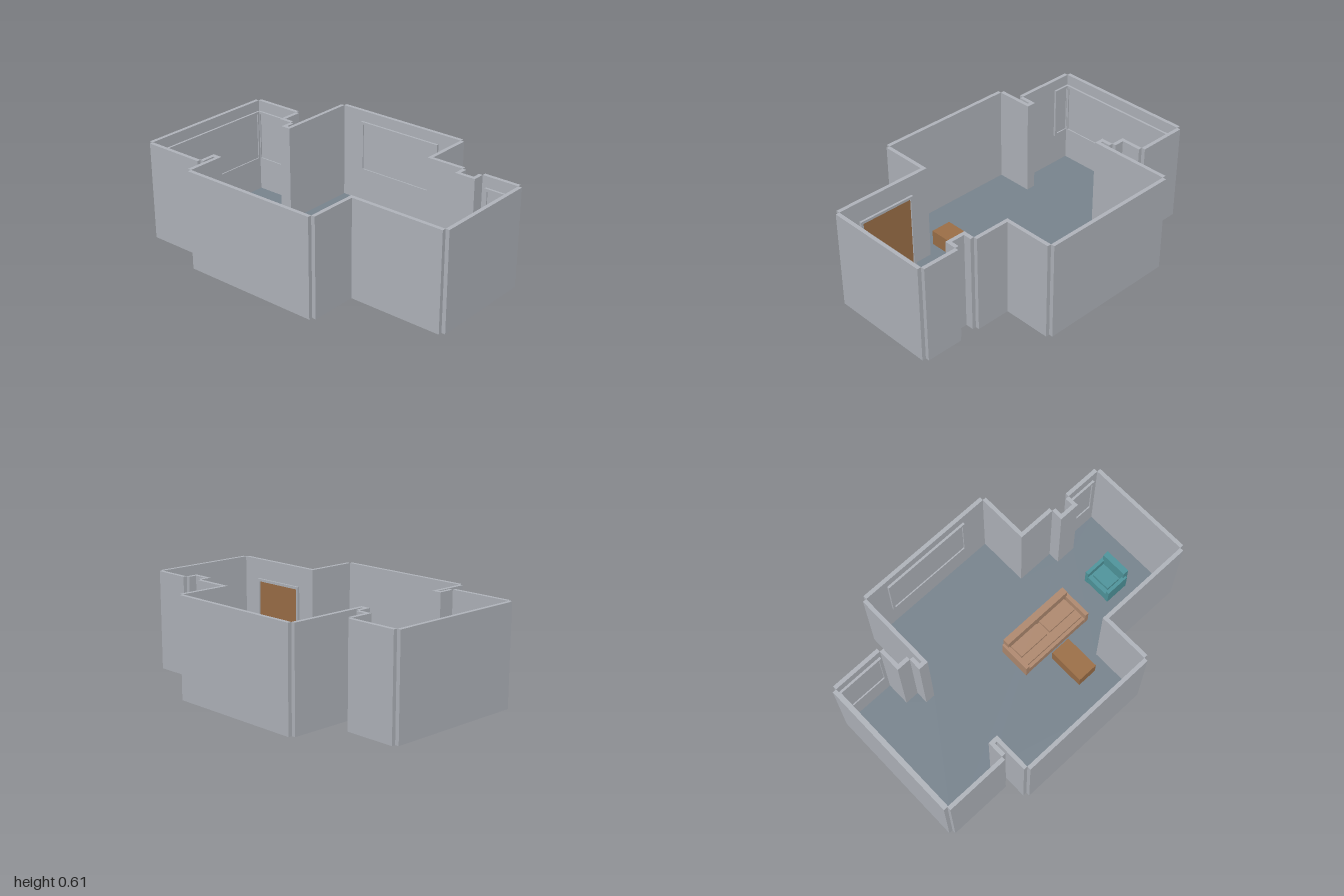
import * as THREE from 'three';

const mat = (name, color) => {
  const m = new THREE.MeshStandardMaterial({ color });
  m.name = name;
  return m;
};

export function createModel() {
  const root = new THREE.Group();
  root.name = 'apartment';
  const wallMat = mat('wall grey', 0xb0b4bb);
  const floorMat = mat('floor slate', 0x78848e);
  const woodMat = mat('wood brown', 0x9c6f47);
  const sofaMat = mat('sofa tan', 0xb08a70);
  const chairMat = mat('chair teal', 0x4f959c);

  // Box given by its two extreme corners
  const box = (parent, name, m, x0, x1, y0, y1, z0, z1) => {
    const b = new THREE.Mesh(new THREE.BoxGeometry(x1 - x0, y1 - y0, z1 - z0), m);
    b.position.set((x0 + x1) / 2, (y0 + y1) / 2, (z0 + z1) / 2);
    b.name = name;
    parent.add(b);
    return b;
  };
  const group = (name) => {
    const g = new THREE.Group();
    g.name = name;
    root.add(g);
    return g;
  };

  // Inner outline of the rooms as x, z, clockwise seen from above
  const plan = [
    [-0.975, -0.372], [-0.66, -0.372], [-0.66, -0.225], [-0.573, -0.225],
    [-0.573, -0.147], [-0.511, -0.147], [-0.511, -0.655], [0.372, -0.655],
    [0.372, -0.333], [0.613, -0.333], [0.613, -0.26], [0.745, -0.26],
    [0.745, -0.335], [0.975, -0.335], [0.975, 0.327], [0.361, 0.327],
    [0.361, 0.648], [-0.521, 0.648], [-0.521, 0.413], [-0.582, 0.413],
    [-0.582, 0.517], [-0.975, 0.517],
  ];
  const H = 0.608, T = 0.024;

  // Floor slab
  const shape = new THREE.Shape(plan.map(([x, z]) => new THREE.Vector2(x, -z)));
  const floorGeo = new THREE.ExtrudeGeometry(shape, { depth: 0.004, bevelEnabled: false });
  const floor = new THREE.Mesh(floorGeo.rotateX(-Math.PI / 2), floorMat);
  floor.name = 'floor';
  root.add(floor);

  // One wall box outside every edge, leaving the outer corners open
  const walls = group('walls');
  plan.forEach(([x0, z0], i) => {
    const [x1, z1] = plan[(i + 1) % plan.length];
    const nx = Math.sign(z1 - z0) * T, nz = -Math.sign(x1 - x0) * T;
    box(walls, 'wall', wallMat,
      Math.min(x0, x1, x0 + nx), Math.max(x0, x1, x0 + nx), 0, H,
      Math.min(z0, z1, z0 + nz), Math.max(z0, z1, z0 + nz));
  });

  // Framed panel, built facing +z around its centre and then turned
  const framed = (name, m, w, y0, y1, x, z, turn, sill = true) => {
    const g = group(name);
    const f = 0.016, d = 0.014, h = y1 - y0;
    for (const s of [-1, 1]) {
      const e = s * (w - f) / 2;
      box(g, 'frameSide', wallMat, e - f / 2, e + f / 2, 0, h, 0, d);
    }
    box(g, 'frameTop', wallMat, -w / 2 + f, w / 2 - f, h - f, h, 0, d);
    if (sill) box(g, 'frameSill', wallMat, -w / 2 + f, w / 2 - f, 0, f, 0, d);
    box(g, 'panel', m, -w / 2 + f, w / 2 - f, sill ? f : 0, h - f, 0, 0.006);
    g.position.set(x, y0, z);
    g.rotation.y = turn;
  };
  const lo = 0.21, hi = 0.54;
  framed('backWindow', wallMat, 0.58, lo, hi, -0.075, -0.655, 0);
  framed('smallBackWindow', wallMat, 0.175, lo, hi, 0.858, -0.335, 0);
  framed('cornerBackWindow', wallMat, 0.3, lo, hi, -0.82, -0.372, 0);
  framed('sideWindow', wallMat, 0.87, lo, hi, -0.975, 0.073, Math.PI / 2);
  framed('cornerFrontWindow', wallMat, 0.115, lo, hi, -0.917, 0.517, Math.PI);
  framed('door', woodMat, 0.37, 0.004, 0.485, 0.665, 0.327, Math.PI, false);

  // Low table
  box(root, 'coffeeTable', woodMat, 0.152, 0.283, 0.001, 0.1, 0.163, 0.395);

  // Sofa facing the front
  const sofa = group('sofa');
  box(sofa, 'sofaBase', sofaMat, -0.015, 0.45, 0.02, 0.08, -0.06, 0.138);
  box(sofa, 'sofaSeat', sofaMat, -0.003, 0.44, 0.08, 0.1, -0.03, 0.117);
  box(sofa, 'sofaBack', sofaMat, -0.022, 0.457, 0.02, 0.19, -0.07, -0.028);
  for (const x of [-0.037, 0.447]) {
    box(sofa, 'sofaArm', sofaMat, x, x + 0.025, 0.02, 0.135, -0.065, 0.14);
    for (const z of [-0.05, 0.11])
      box(sofa, 'sofaLeg', sofaMat, x + 0.004, x + 0.021, 0.004, 0.02, z, z + 0.017);
  }
  for (const x of [0, 0.228])
    box(sofa, 'sofaCushion', sofaMat, x, x + 0.205, 0.1, 0.12, -0.028, 0.062);

  // Armchair facing left of the plan
  const chair = group('armchair');
  box(chair, 'chairBase', chairMat, 0.648, 0.785, 0.001, 0.08, -0.038, 0.112);
  box(chair, 'chairCushion', chairMat, 0.675, 0.768, 0.08, 0.105, -0.025, 0.1);
  box(chair, 'chairBack', chairMat, 0.78, 0.817, 0.02, 0.19, -0.05, 0.122);
  for (const z of [-0.06, 0.112])
    box(chair, 'chairArm', chairMat, 0.646, 0.803, 0.004, 0.13, z, z + 0.022);

  return root;
}
